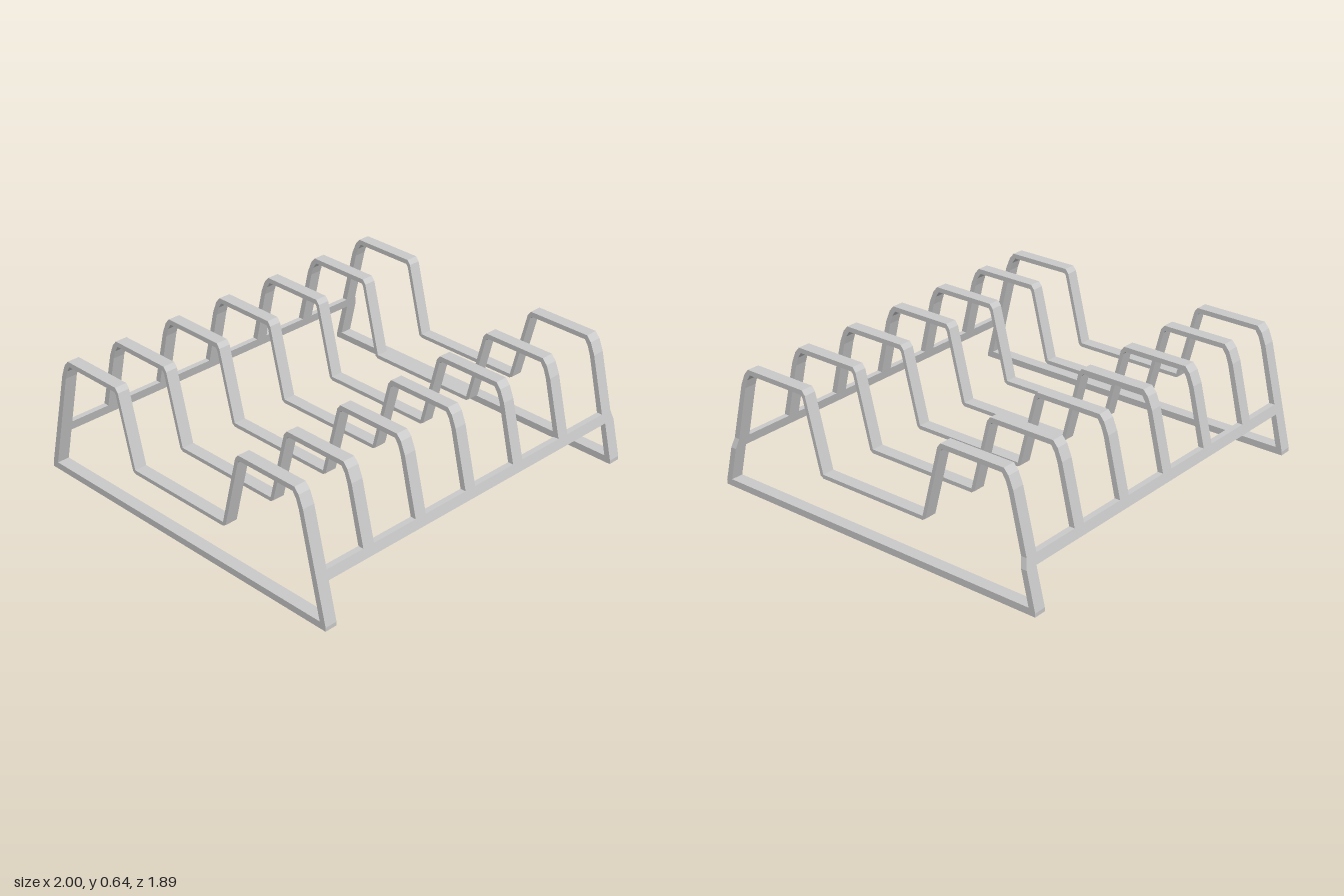
import * as THREE from 'three';

const material = new THREE.MeshStandardMaterial({ color: 0xcccccc, flatShading: true });
const WIDTH = 0.065;
const BAR_LOW = 0.21, BAR_HIGH = 0.26;

// Depth of the sloping leg's outer and inner faces at height y
const outerZ = (y) => 0.945 - 0.246 * (y - 0.02);
const innerZ = (y) => 0.909 - 0.237 * (y - 0.035);

// Extrude a (z, y) outline along x, from x0 to x1
function sideExtrude(name, points, x0, x1) {
  const shape = new THREE.Shape(points.map(([z, y]) => new THREE.Vector2(z, y)));
  const geometry = new THREE.ExtrudeGeometry(shape, { depth: x1 - x0, bevelEnabled: false });
  geometry.rotateY(-Math.PI / 2);
  geometry.translate(x1, 0, 0);
  const mesh = new THREE.Mesh(geometry, material);
  mesh.name = name;
  return mesh;
}

// Complete a half outline with its mirror image across z = 0
const mirrored = (half) => [...half, ...half.map(([z, y]) => [-z, y]).reverse()];

export function createModel() {
  const group = new THREE.Group();
  group.name = 'rack';

  // Bent divider strip: two tall humps with a low flat seat between them
  const outer = mirrored([
    [outerZ(BAR_HIGH), BAR_HIGH], [0.813, 0.556], [0.788, 0.616], [0.763, 0.645],
    [0.414, 0.645], [0.396, 0.622], [0.302, 0.256],
  ]);
  const inner = mirrored([
    [innerZ(BAR_HIGH), BAR_HIGH], [0.788, 0.545], [0.772, 0.59], [0.752, 0.62],
    [0.422, 0.62], [0.412, 0.608], [0.319, 0.247], [0.302, 0.236],
  ]);
  const dividerOutline = [...outer, ...inner.reverse()];
  for (let i = 0; i < 7; i++) {
    const x = -1 + i * 0.32;
    const left = i === 0 ? -1 : -0.715 + (i - 1) * 0.327;
    group.add(sideExtrude('divider', dividerOutline, left, left + WIDTH));
  }

  // End feet: a floor runner with a short sloping leg at each end
  const footOutline = [
    ...mirrored([[outerZ(BAR_LOW), BAR_LOW], [0.945, 0.02], [0.945, 0]]),
    ...mirrored([[innerZ(BAR_LOW), BAR_LOW], [0.909, 0.035]]).reverse(),
  ];
  for (const left of [-1, 1 - WIDTH]) {
    group.add(sideExtrude('footFrame', footOutline, left, left + WIDTH));
  }

  // Cross bars joining all dividers, lying along the slope of the legs
  for (const side of [1, -1]) {
    const bar = sideExtrude('crossBar', [
      [side * outerZ(BAR_LOW), BAR_LOW], [side * outerZ(BAR_HIGH), BAR_HIGH],
      [side * innerZ(BAR_HIGH), BAR_HIGH], [side * innerZ(BAR_LOW), BAR_LOW],
    ], -1, 1);
    // The upper corner at the +x end steps in to meet the last divider
    const position = bar.geometry.attributes.position;
    for (let i = 0; i < position.count; i++) {
      if (position.getX(i) > 0.9 && position.getY(i) > 0.23) position.setX(i, 0.985);
    }
    bar.geometry.computeVertexNormals();
    group.add(bar);
  }

  return group;
}
